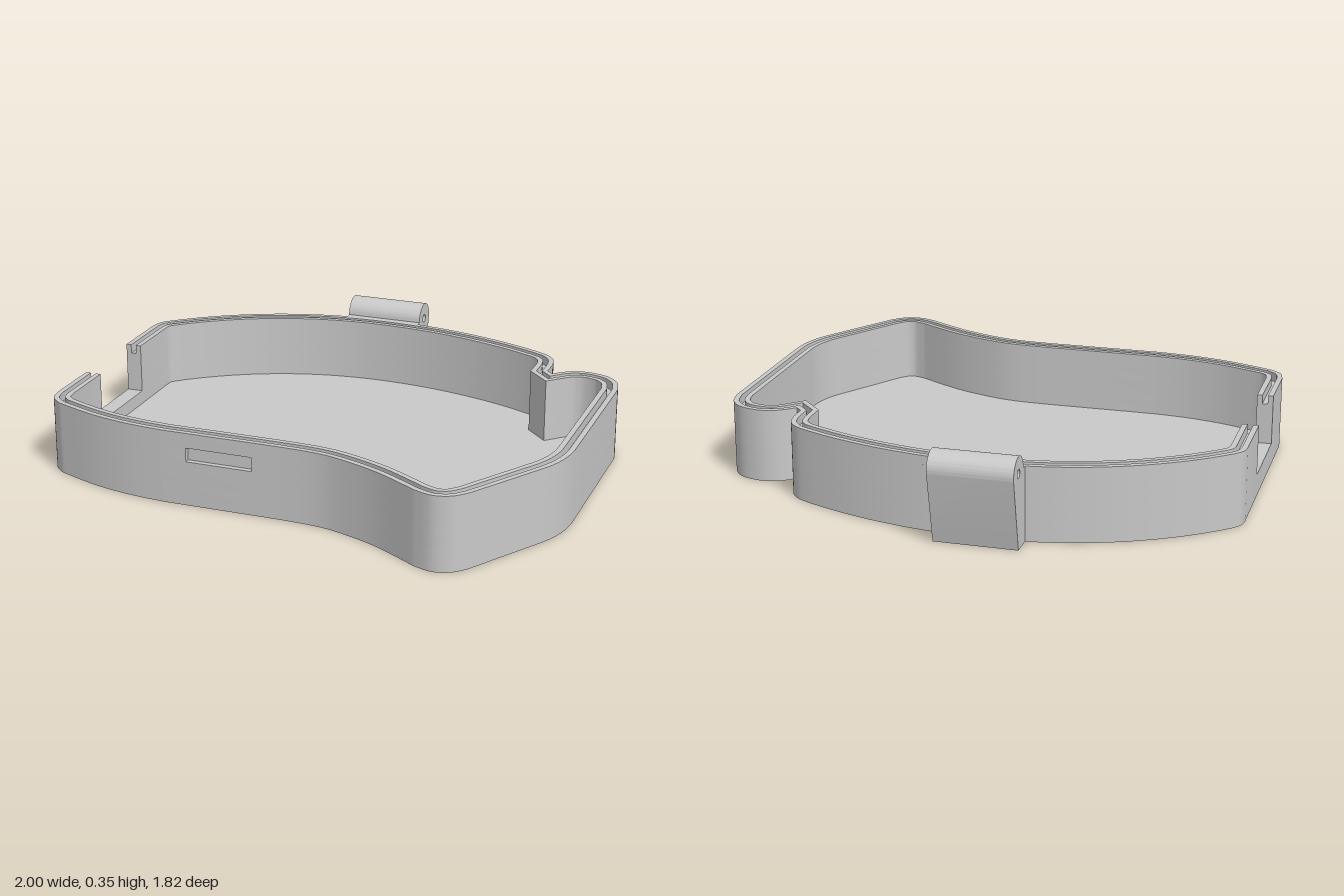
import * as THREE from 'three';
import { toCreasedNormals } from 'three/addons/utils/BufferGeometryUtils.js';

const H = 0.285, FLOOR = 0.036, SILL = 0.09, GROOVE = 0.25, LIP = 0.021;
const FRONT = 0.695;
const v = (x, z) => new THREE.Vector2(x, z);

// Outline in (x, z), running from one side of the wall opening round to the other.
// Each run is a spline, a rounded corner, a circular arc or a straight polyline.
function outline() {
  const smooth = (n, ...p) => new THREE.SplineCurve(p.map(q => v(...q))).getPoints(n);
  const bend = (n, a, b, c) => new THREE.QuadraticBezierCurve(v(...a), v(...b), v(...c)).getPoints(n);
  // Back wall arc of radius r whose crown is at x = -0.13
  const crown = (x0, x1, r) => Array.from({ length: 25 }, (_, i) => {
    const x = x0 + (x1 - x0) * i / 24;
    return v(x, -0.772 + r - Math.sqrt(r * r - (x + 0.13) ** 2));
  });
  const runs = [
    [v(-1, -0.11)],
    smooth(8, [-1, -0.36], [-0.992, -0.405], [-0.965, -0.44]),
    crown(-0.965, -0.13, 1.216),
    crown(-0.13, 0.6, 1.736),
    smooth(12, [0.6, -0.611], [0.645, -0.585], [0.68, -0.54], [0.693, -0.48]),
    [v(0.693, -0.408), v(0.718, -0.382), v(0.748, -0.412)],
    smooth(24, [0.748, -0.412], [0.79, -0.438], [0.853, -0.448], [0.93, -0.426], [0.981, -0.371], [1, -0.296]),
    bend(14, [1, 0.338], [1, 0.455], [0.9405, 0.554]),
    smooth(16, [0.762, 0.849], [0.715, 0.895], [0.65, 0.912], [0.58, 0.89]),
    smooth(24, [0.58, 0.89], [0.404, 0.788], [0.243, 0.725], [0.136, 0.702], [0, FRONT]),
    smooth(20, [-0.46, FRONT], [-0.612, 0.68], [-0.773, 0.643], [-0.94, 0.58]),
    smooth(10, [-0.94, 0.58], [-0.985, 0.538], [-1, 0.478]),
    [v(-1, 0.245)],
  ];
  return runs.flat().filter((p, i, a) => i === 0 || p.distanceTo(a[i - 1]) > 1e-3);
}

// Mitred inward offset of the closed outline
function inset(pts, d) {
  const n = pts.length;
  const normal = (a, b) => v(a.y - b.y, b.x - a.x).normalize();
  return pts.map((p, i) => {
    const n1 = normal(pts[(i + n - 1) % n], p), n2 = normal(p, pts[(i + 1) % n]);
    const m = n1.clone().add(n2).normalize();
    return p.clone().addScaledVector(m, d / m.dot(n1));
  });
}

const toShape = pts => new THREE.Shape(pts.map(p => v(p.x, -p.y)));

export function createModel() {
  const group = new THREE.Group();
  const grey = new THREE.MeshStandardMaterial({ color: 0xc9c9c9 });
  grey.name = 'light grey';

  const add = (name, geo) => {
    const mesh = new THREE.Mesh(toCreasedNormals(geo, 0.5), grey);
    mesh.name = name;
    group.add(mesh);
  };
  // Extrude a plan shape between two heights
  const slab = (name, shape, y0, y1) => {
    const geo = new THREE.ExtrudeGeometry(shape, { depth: y1 - y0, bevelEnabled: false });
    add(name, geo.rotateX(-Math.PI / 2).translate(0, y0, 0));
  };

  const outer = outline();
  const [lipA, lipB, inner] = [1, 2, 3].map(k => inset(outer, k * LIP));
  // Wall strip left open on the -x side
  const strip = (a, b) => toShape([...a, ...[...b].reverse()]);

  // Floor and the low sill that runs under the opening (hole wound against the outline)
  slab('floor', toShape(outer), 0, FLOOR);
  const sill = toShape(outer);
  sill.holes.push(new THREE.Path(inner.map(p => v(p.x, -p.y)).reverse()));
  slab('sill', sill, FLOOR, SILL);

  // Wall in layers; the middle layer holds the shallow slot in the front
  const cut = outer.findIndex(p => Math.abs(p.x + 0.46) < 1e-6);
  const slotted = [...outer];
  slotted.splice(cut, 0, v(-0.105, FRONT), v(-0.105, FRONT - LIP), v(-0.365, FRONT - LIP), v(-0.365, FRONT));
  slab('lowerWall', strip(outer, inner), SILL, 0.173);
  slab('slottedWall', strip(slotted, inner), 0.173, 0.227);
  slab('upperWall', strip(outer, inner), 0.227, GROOVE);

  // Two rim lips with a groove between them
  slab('outerLip', strip(outer, lipA), GROOVE, H);
  slab('innerLip', strip(lipB, inner), GROOVE, H);

  // Hinge knuckle on the back with a pin hole
  const hinge = new THREE.Shape();
  hinge.moveTo(0.755, 0);
  hinge.lineTo(0.848, 0);
  hinge.absarc(0.848, 0.286, 0.064, -0.22, Math.PI, false);
  hinge.lineTo(0.755, H);
  hinge.closePath();
  hinge.holes.push(new THREE.Path().absarc(0.848, 0.286, 0.017, 0, Math.PI * 2, true));
  const hingeGeo = new THREE.ExtrudeGeometry(hinge, { depth: 0.315, bevelEnabled: false, curveSegments: 24 });
  add('hinge', hingeGeo.rotateY(Math.PI / 2).translate(-0.282, 0, 0));

  return group;
}
